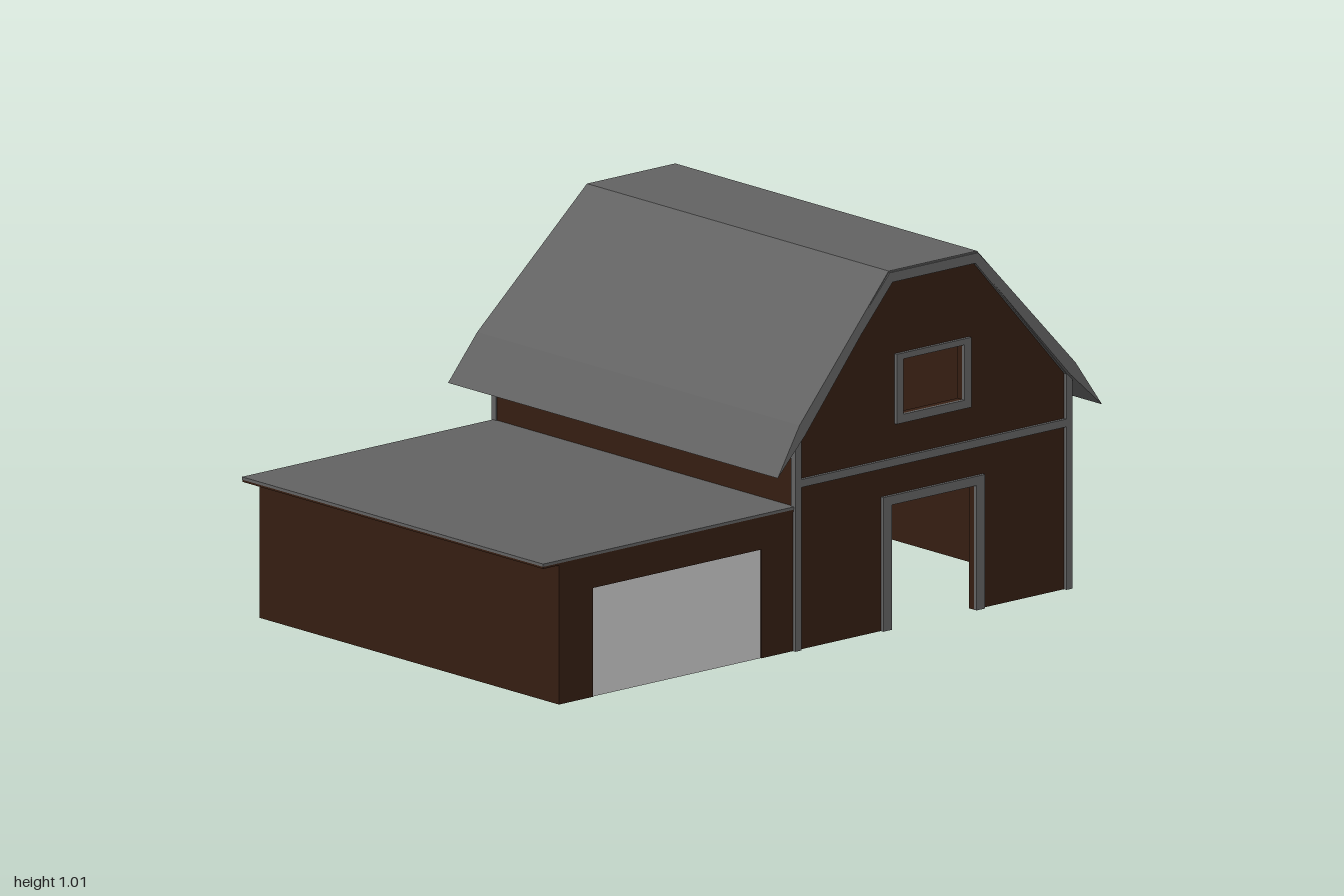
import * as THREE from 'three';

const mat = (color) => new THREE.MeshStandardMaterial({ color, flatShading: true, side: THREE.DoubleSide });

// Closed shape from [x, y] points, with optional rectangular holes [x0, y0, x1, y1]
function makeShape(points, holes = []) {
  const shape = new THREE.Shape(points.map(([x, y]) => new THREE.Vector2(x, y)));
  for (const [x0, y0, x1, y1] of holes) {
    shape.holes.push(new THREE.Path([[x0, y0], [x0, y1], [x1, y1], [x1, y0]]
      .map(([x, y]) => new THREE.Vector2(x, y))));
  }
  return shape;
}

export function createModel() {
  const model = new THREE.Group();
  model.name = 'barnWithGarage';
  const wood = mat(0x351e12);
  const trim = mat(0x646464);
  const roofing = mat(0x626262);
  const doorPaint = mat(0xcccccc);

  const add = (name, geometry, material, parent = model) => {
    const mesh = new THREE.Mesh(geometry, material);
    mesh.name = name;
    parent.add(mesh);
    return mesh;
  };
  // Box given by its minimum and maximum corners
  const box = (name, x0, x1, y0, y1, z0, z1, material, parent) => {
    const g = new THREE.BoxGeometry(x1 - x0, y1 - y0, z1 - z0);
    g.translate((x0 + x1) / 2, (y0 + y1) / 2, (z0 + z1) / 2);
    return add(name, g, material, parent);
  };
  const slab = (name, shape, z0, z1, material, parent) => {
    const g = new THREE.ExtrudeGeometry(shape, { depth: z1 - z0, bevelEnabled: false });
    g.translate(0, 0, z0);
    return add(name, g, material, parent);
  };

  // Gable outline with an open doorway and loft window
  const gable = makeShape([
    [-0.085, 0], [0.257, 0], [0.257, 0.35], [0.564, 0.35], [0.564, 0], [0.905, 0],
    [0.905, 0.61], [0.565, 0.985], [0.255, 0.985], [-0.085, 0.61],
  ], [[0.3, 0.597, 0.521, 0.752]]);
  const doorFrame = makeShape([
    [0.226, 0], [0.257, 0], [0.257, 0.35], [0.564, 0.35], [0.564, 0],
    [0.595, 0], [0.595, 0.376], [0.226, 0.376],
  ]);
  const windowFrame = makeShape(
    [[0.275, 0.573], [0.545, 0.573], [0.545, 0.769], [0.275, 0.769]],
    [[0.3, 0.597, 0.521, 0.752]]);
  const vergeBoard = makeShape([
    [-0.09, 0.632], [0.25, 1.002], [0.57, 1.002], [0.91, 0.632], [0.91, 0.605],
    [0.89, 0.605], [0.56, 0.974], [0.26, 0.974], [-0.07, 0.605], [-0.09, 0.605],
  ]);

  // Both ends of the barn: wall and its trim
  for (const [end, wallZ, trimZ] of [['front', 0.62, 0.632], ['back', -0.578, -0.59]]) {
    const group = new THREE.Group();
    group.name = end + 'Gable';
    model.add(group);
    slab('gableWall', gable, wallZ, wallZ + 0.02, wood, group);
    const z1 = trimZ + 0.018;
    slab('doorFrame', doorFrame, trimZ, z1, trim, group);
    slab('windowFrame', windowFrame, trimZ, z1, trim, group);
    slab('vergeBoard', vergeBoard, trimZ, z1, trim, group);
    box('crossBand', -0.07, 0.89, 0.457, 0.479, trimZ, z1, trim, group);
    box('cornerPost', -0.092, -0.07, 0, 0.61, trimZ, z1, trim, group);
    box('cornerPost', 0.89, 0.912, 0, 0.61, trimZ, z1, trim, group);
  }

  // Long barn walls
  for (const [side, x] of [['right', -0.088], ['left', 0.888]]) {
    box(side + 'BarnWall', x, x + 0.02, 0, 0.61, -0.578, 0.64, wood);
  }

  // Gambrel roof whose ends flare outward toward the eaves
  const roof = slab('barnRoof', makeShape([
    [-0.175, 0.505], [-0.09, 0.637], [0.25, 1.006], [0.57, 1.006], [0.91, 0.637], [1, 0.505],
    [0.89, 0.607], [0.56, 0.98], [0.26, 0.98], [-0.07, 0.607],
  ]), 0, 1, roofing);
  const p = roof.geometry.attributes.position;
  for (let i = 0; i < p.count; i++) {
    const drop = (1.006 - p.getY(i)) / 0.5;
    p.setZ(i, p.getZ(i) > 0.5 ? 0.645 + 0.026 * drop : -0.586 - 0.088 * drop);
  }
  roof.geometry.computeVertexNormals();

  // Garage: front wall with door opening, closed back and side, flat roof
  slab('garageFrontWall', makeShape([
    [-0.94, 0], [-0.817, 0], [-0.817, 0.305], [-0.207, 0.305], [-0.207, 0],
    [-0.088, 0], [-0.088, 0.392], [-0.94, 0.392],
  ]), 0.62, 0.64, wood);
  box('garageDoor', -0.817, -0.207, 0, 0.305, 0.624, 0.637, doorPaint);
  box('garageBackWall', -0.94, -0.088, 0, 0.392, -0.582, -0.562, wood);
  box('garageSideWall', -0.94, -0.92, 0, 0.392, -0.562, 0.62, wood);
  box('garageCeiling', -0.999, -0.088, 0.391, 0.397, -0.584, 0.642, wood);
  box('garageRoof', -1, -0.088, 0.397, 0.405, -0.586, 0.643, roofing);

  return model;
}
